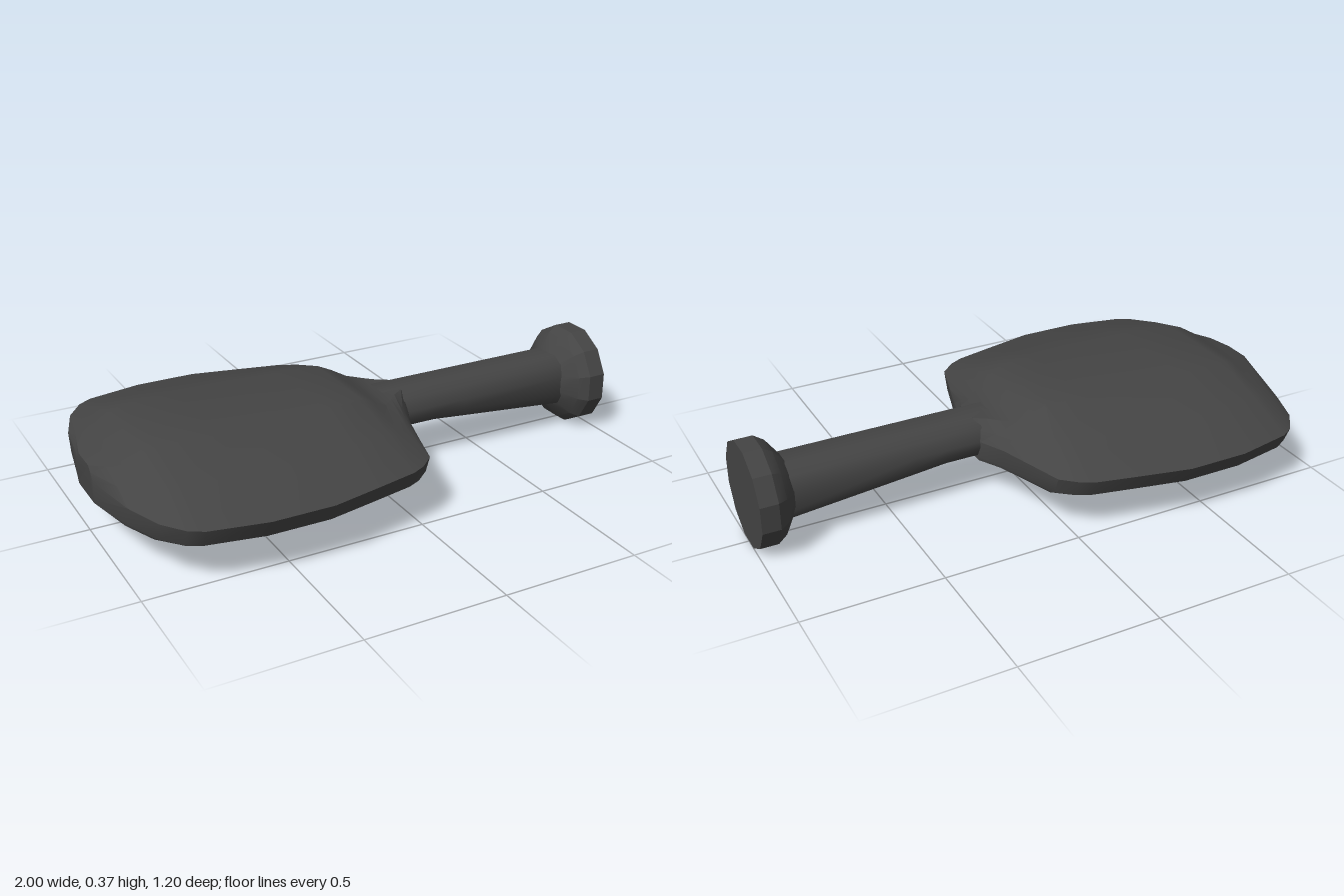
import * as THREE from 'three';
import { toCreasedNormals } from 'three/addons/utils/BufferGeometryUtils.js';

const material = new THREE.MeshStandardMaterial({ color: 0x444444 });

// Skins mirrored cross-sections along x. Each section is { x, half: [[z, y], ...] }
// where half runs from the top to the bottom on the +z side.
function loft(sections, crease) {
  const rings = sections.map(({ x, half }) => [
    ...half.map(([z, y]) => [x, y, z]),
    ...half.slice().reverse().map(([z, y]) => [x, y, -z]),
  ]);
  const n = rings[0].length;
  const index = [];
  for (let i = 0; i < rings.length - 1; i++) {
    for (let j = 0; j < n; j++) {
      const k = (j + 1) % n;
      const a = i * n + j, b = i * n + k, c = a + n, d = b + n;
      index.push(a, b, c, b, d, c);
    }
  }
  // flat end caps
  const last = (rings.length - 1) * n;
  for (let j = 1; j < n - 1; j++) {
    index.push(0, j + 1, j);
    index.push(last, last + j, last + j + 1);
  }
  const geometry = new THREE.BufferGeometry();
  geometry.setAttribute('position', new THREE.Float32BufferAttribute(rings.flat(2), 3));
  geometry.setIndex(index);
  return toCreasedNormals(geometry, crease);
}

function addPart(group, name, geometry) {
  const mesh = new THREE.Mesh(geometry, material);
  mesh.name = name;
  group.add(mesh);
}

// Blade: [x, half width, top height, half width of the flat top]
function bladeGeometry() {
  const stations = [
    [-1, 0.09, 0.265, 0.05],
    [-0.96, 0.31, 0.28, 0.12],
    [-0.91, 0.45, 0.293, 0.16],
    [-0.85, 0.53, 0.328, 0.175],
    [-0.8, 0.56, 0.345, 0.18],
    [-0.6, 0.6, 0.345, 0.2],
    [-0.38, 0.6, 0.345, 0.2],
    [-0.2, 0.56, 0.345, 0.19],
    [-0.05, 0.525, 0.345, 0.17],
    [0, 0.5, 0.322, 0.165],
    [0.055, 0.45, 0.293, 0.15],
    [0.1, 0.3, 0.29, 0.11],
    [0.13, 0.2, 0.29, 0.08],
    [0.175, 0.105, 0.29, 0.05],
  ];
  return loft(stations.map(([x, w, top, flat]) => ({
    x,
    half: [
      [flat, top],
      [(flat + w) / 2, (top + 0.22) / 2 + 0.004],
      [w, 0.22],
      [w * 0.945, 0.155],
      [w * 0.88, 0.14],
    ],
  })), 0.5);
}

// Handle: the underside drops towards the knob
function handleGeometry() {
  const stations = [[0.1, 0.14], [0.3, 0.14], [0.42, 0.128], [0.87, 0.085]];
  return loft(stations.map(([x, bottom]) => ({
    x,
    half: [
      [0.045, 0.29],
      [0.088, 0.265],
      [0.105, 0.22],
      [0.105, bottom + 0.055],
      [0.085, bottom + 0.018],
      [0.045, bottom],
    ],
  })), 0.7);
}

// Knob: a flared twelve-sided end
function knobGeometry() {
  const R = 0.1915, center = 0.185;
  const stations = [[0.855, 0.105], [0.9, 0.168], [0.935, R], [1, R]];
  return loft(stations.map(([x, r]) => ({
    x,
    half: [75, 45, 15, -15, -45, -75].map((deg) => {
      const t = THREE.MathUtils.degToRad(deg);
      return [r * Math.cos(t), center + r * Math.sin(t)];
    }),
  })), 0.4);
}

// Raised panel under the blade, a bulged square with a shallow bevel
function panelGeometry() {
  const half = [[-0.78, 0.12], [-0.74, 0.25], [-0.68, 0.3], [-0.55, 0.335],
    [-0.38, 0.34], [-0.22, 0.315], [-0.14, 0.27], [-0.1, 0.12]];
  const points = [...half, ...half.slice().reverse().map(([x, z]) => [x, -z])]
    .map(([x, z]) => new THREE.Vector2(x, z));
  const geometry = new THREE.ExtrudeGeometry(new THREE.Shape(points), {
    depth: 0.02, bevelThickness: 0.011, bevelSize: 0.035, bevelOffset: -0.035, bevelSegments: 1,
  });
  geometry.rotateX(Math.PI / 2);
  geometry.translate(0, 0.161, 0);
  return geometry;
}

export function createModel() {
  const group = new THREE.Group();
  group.name = 'paddle';
  addPart(group, 'blade', bladeGeometry());
  addPart(group, 'undersidePanel', panelGeometry());
  addPart(group, 'handle', handleGeometry());
  addPart(group, 'knob', knobGeometry());
  return group;
}
